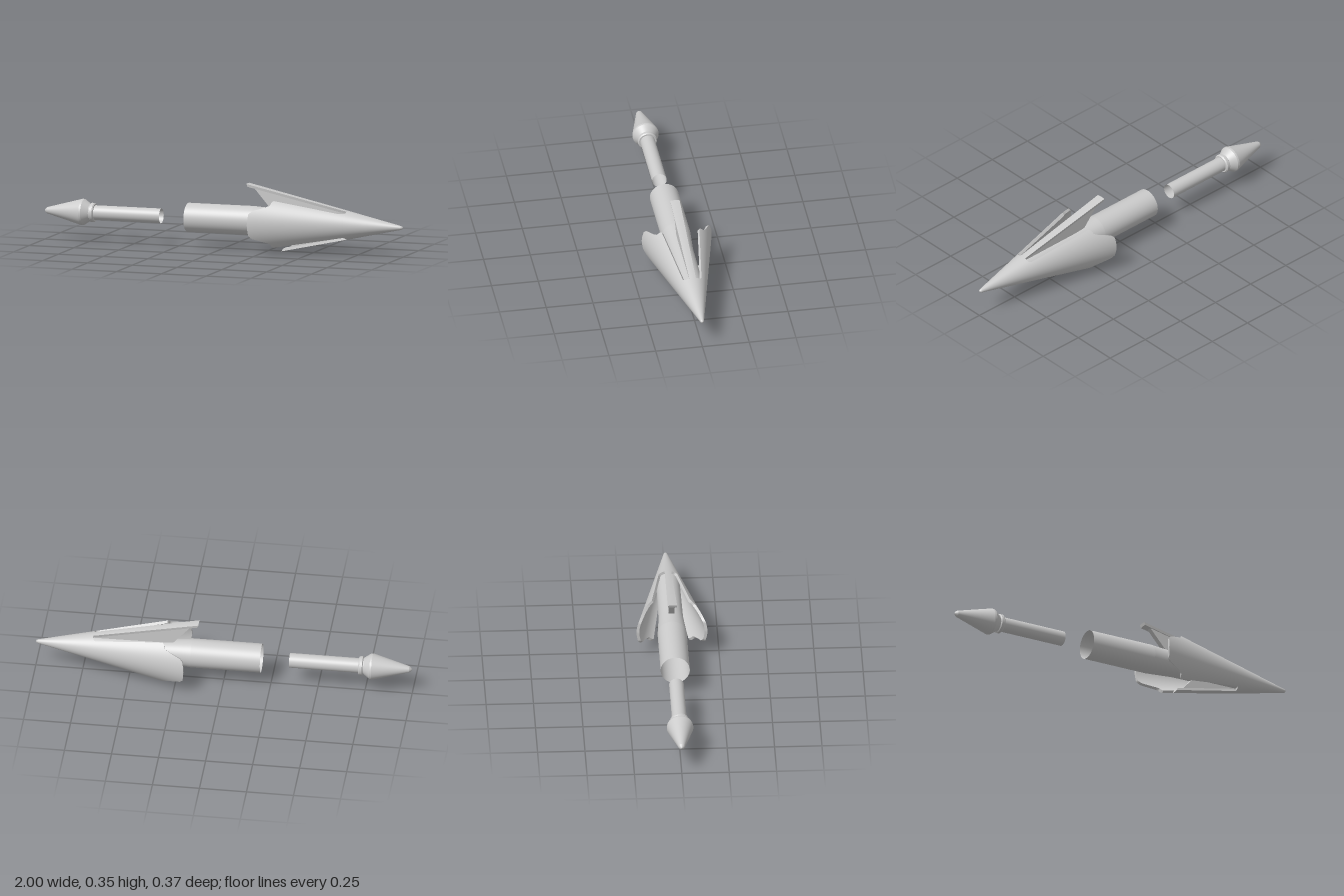
import * as THREE from 'three';

const AXIS_Y = 0.158;      // height of the long axis
const SLOT_X = 0.69;       // where the slots in the head begin
const headRadius = (x) => 0.01 + 0.222 * (0.99 - x);

function addMesh(parent, name, geometry, side = THREE.FrontSide) {
  const mesh = new THREE.Mesh(geometry, new THREE.MeshStandardMaterial({ color: 0xcccccc, side }));
  mesh.name = name;
  parent.add(mesh);
  return mesh;
}

// Turned part along x: each piece is a list of [x, radius] from back to front,
// smoothed on its own so the joints between pieces stay crisp.
function turned(parent, name, pieces) {
  const group = new THREE.Group();
  group.name = name;
  for (const piece of pieces) {
    const pts = piece.map(([x, r]) => new THREE.Vector2(r, x));
    const geometry = new THREE.LatheGeometry(pts, 120).rotateZ(-Math.PI / 2);
    addMesh(group, name + 'Surface', geometry, THREE.DoubleSide);
  }
  parent.add(group);
}

// Consecutive pairs, giving a crisp edge at every profile point
const crisp = (pts) => pts.slice(1).map((p, i) => [pts[i], p]);

// Box bent by a rule: u along x (0..1), d from inside to outside (0..1), w across (-1..1)
function bentBox(nu, nw, rule) {
  const g = new THREE.BoxGeometry(1, 1, 1, nu, 1, nw);
  const p = g.attributes.position;
  for (let i = 0; i < p.count; i++) {
    const [x, y, z] = rule(p.getX(i) + 0.5, p.getY(i) + 0.5, p.getZ(i) * 2);
    p.setXYZ(i, x, y, z);
  }
  g.computeVertexNormals();
  return g;
}

// Scalloped rear edge of a wing: [angle in degrees, x]
const REAR_EDGE = [[0, 0.192], [18, 0.197], [24, 0.214], [31, 0.262], [38, 0.298], [43, 0.303], [47, 0.305], [51, 0.312]];
function rearEdge(deg) {
  const i = Math.max(1, REAR_EDGE.findIndex(([a]) => deg <= a + 1e-6));
  const [a0, x0] = REAR_EDGE[i - 1], [a1, x1] = REAR_EDGE[i];
  return THREE.MathUtils.mapLinear(deg, a0, a1, x0, x1);
}

// Curved wing whose side edges round off the front end of the slots
function wingGeometry() {
  return bentBox(24, 34, (u, d, w) => {
    const x = THREE.MathUtils.lerp(rearEdge(Math.abs(51 * w)), SLOT_X, 1 - (1 - u) ** 2);
    const t = Math.max(0, (x - SLOT_X + 0.016) / 0.016);
    const a = THREE.MathUtils.degToRad(51 + 13 * (1 - Math.sqrt(1 - Math.min(1, t * t)))) * w;
    const r = headRadius(x) - 0.015 * (1 - d);
    return [x, r * Math.cos(a), r * Math.sin(a)];
  });
}

// Barb strip following the cone
function barbGeometry(xBack) {
  return bentBox(12, 6, (u, d, w) => {
    const x = THREE.MathUtils.lerp(xBack + 0.006 * (1 - d), SLOT_X + 0.005, u);
    const r = headRadius(x) - 0.002 * (1 - u);
    const a = w * (0.0127 + 0.063 * r) / r;
    const rr = r - 0.014 * (1 - d);
    return [x, rr * Math.cos(a), rr * Math.sin(a)];
  });
}

// Web joining the barb to the shaft, with a slanted rear edge
function webGeometry(xBack) {
  return bentBox(8, 1, (u, d, w) => {
    const rear = xBack + 0.035 + (1 - d) * (headRadius(xBack) - 0.075) * 0.88;
    const x = THREE.MathUtils.lerp(rear, SLOT_X, u);
    const r = THREE.MathUtils.lerp(0.055, headRadius(x) - 0.01, d);
    return [x, r, w * 0.015];
  });
}

export function createModel() {
  const model = new THREE.Group();
  const spear = new THREE.Group();
  spear.name = 'spear';
  spear.position.y = AXIS_Y;
  model.add(spear);

  // Solid front of the head with a slightly rounded point
  turned(spear, 'headTip', [
    [[SLOT_X, 0.05], [SLOT_X, headRadius(SLOT_X)]],
    [[SLOT_X, headRadius(SLOT_X)], [0.85, headRadius(0.85)], [0.985, headRadius(0.985)],
      [0.995, 0.008], [1, 0]],
  ]);

  // Socket tube, open at the rear, narrowing inside the head
  turned(spear, 'socket', [
    [[-0.2, 0.077], [0.17, 0.077]],
    [[0.17, 0.077], [0.33, 0.065], [SLOT_X + 0.01, 0.062]],
  ]);

  // Side wings
  for (const side of [1, -1]) {
    const name = side > 0 ? 'frontWing' : 'backWing';
    addMesh(spear, name, wingGeometry()).rotation.x = side * Math.PI / 2;
  }

  // Long upper barb and short lower barb
  for (const [name, xBack, turn] of [['upperBarb', 0.133, 0], ['lowerBarb', 0.33, Math.PI]]) {
    const barb = new THREE.Group();
    barb.name = name;
    barb.rotation.x = turn;
    addMesh(barb, name + 'Strip', barbGeometry(xBack));
    addMesh(barb, name + 'Web', webGeometry(xBack));
    spear.add(barb);
  }

  // Rear rod, open at its front end
  turned(spear, 'rod', [[[-0.74, 0.039], [-0.35, 0.039]]]);

  // Collar and pointed butt
  turned(spear, 'collar', crisp([
    [-0.755, 0.045], [-0.742, 0.045], [-0.738, 0.051], [-0.724, 0.051], [-0.718, 0.046], [-0.718, 0.037],
  ]));
  turned(spear, 'butt', [
    [[-1, 0], [-0.996, 0.009], [-0.985, 0.017]],
    [[-0.985, 0.017], [-0.79, 0.07]],
    [[-0.79, 0.07], [-0.78, 0.069]],
    [[-0.78, 0.069], [-0.745, 0.045]],
  ]);

  return model;
}
